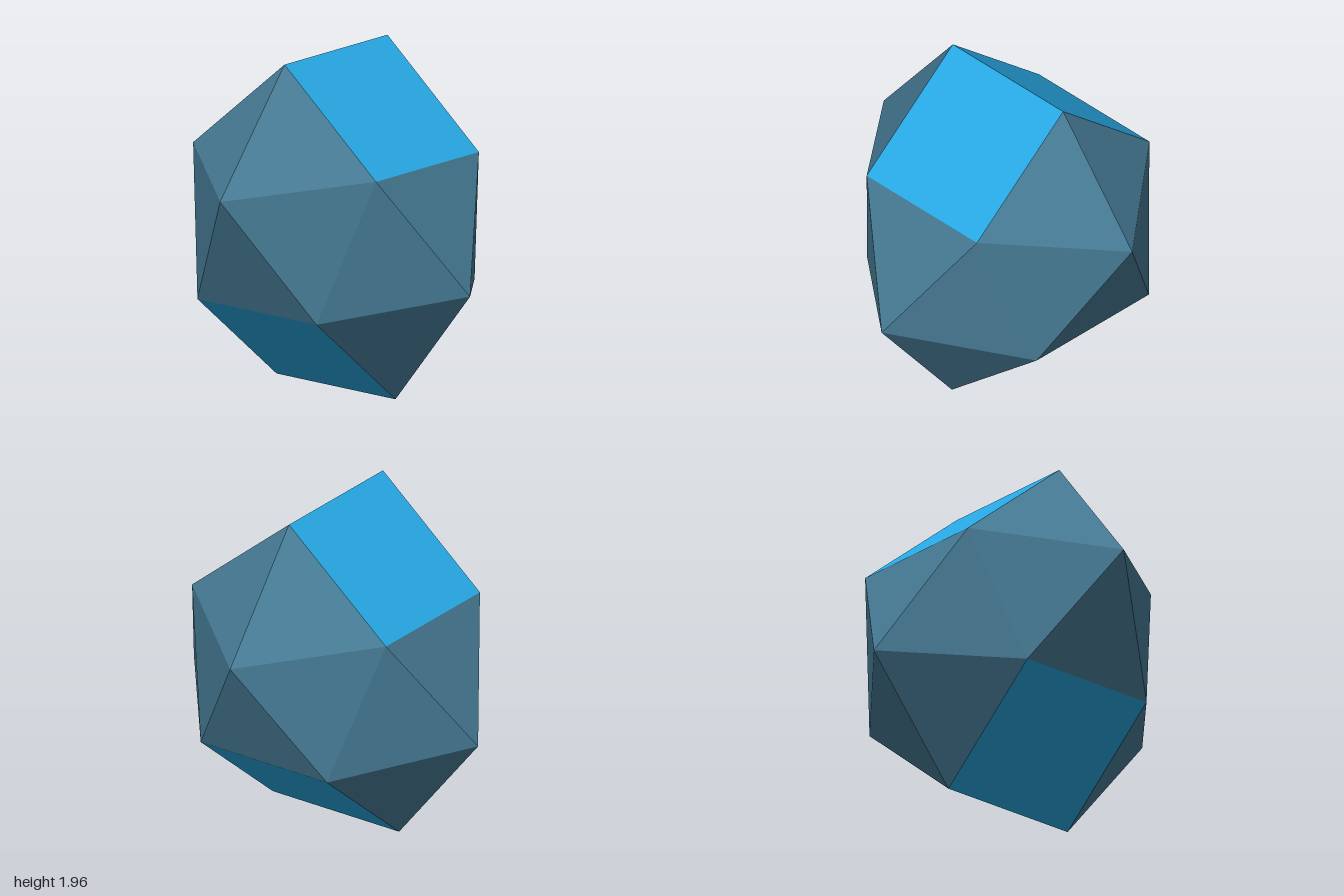
import * as THREE from 'three';

const H = 1.963; // overall height
// One representative of each kind of corner
const ridge = [0, H, 0.444];
const shoulder = [0.682, 1.395, 0.444];
const tip = [0, 1.271, 1];
const waist = [0.444, 0.568, 0.682];

const mirrorX = ([x, y, z]) => [-x, y, z];
const mirrorZ = ([x, y, z]) => [x, y, -z];
// Quarter turn about y combined with an upside-down flip
const turnFlip = ([x, y, z]) => [z, H - y, -x];

// Flat faces from convex polygons, each wound to face outward
function facesGeometry(polygons) {
  const centre = new THREE.Vector3(0, H / 2, 0);
  const positions = [];
  for (const polygon of polygons) {
    const p = polygon.map((c) => new THREE.Vector3(...c));
    const normal = p[1].clone().sub(p[0]).cross(p[2].clone().sub(p[0]));
    if (normal.dot(p[0].clone().sub(centre)) < 0) p.reverse();
    for (let i = 1; i < p.length - 1; i++) {
      for (const v of [p[0], p[i], p[i + 1]]) positions.push(v.x, v.y, v.z);
    }
  }
  const geometry = new THREE.BufferGeometry();
  geometry.setAttribute('position', new THREE.Float32BufferAttribute(positions, 3));
  geometry.computeVertexNormals();
  return geometry;
}

// Repeat seed faces through the four turn-and-flip positions
function repeatAround(seeds) {
  const result = [];
  let current = seeds;
  for (let i = 0; i < 4; i++) {
    result.push(...current);
    current = current.map((face) => face.map(turnFlip));
  }
  return result;
}

export function createModel() {
  const slate = new THREE.MeshStandardMaterial({ color: 0x467a94, flatShading: true });
  slate.name = 'slate blue';
  const blue = new THREE.MeshStandardMaterial({ color: 0x27a7e3, flatShading: true });
  blue.name = 'bright blue';

  // Four squares: two roof slopes on top, two below turned by 90 degrees
  const squares = repeatAround([[ridge, shoulder, mirrorZ(shoulder), mirrorZ(ridge)]]);

  // Twenty triangles: gable ends, belt and the single triangles under each tip
  const gable = [ridge, shoulder, tip];
  const belt = [shoulder, tip, waist];
  const triangles = repeatAround([
    gable, gable.map(mirrorX),
    belt, belt.map(mirrorX),
    [tip, waist, mirrorX(waist)],
  ]);
  // Each belt triangle is reached once from its seed or its mirror image

  const group = new THREE.Group();
  group.name = 'polyhedron';
  const squareMesh = new THREE.Mesh(facesGeometry(squares), blue);
  squareMesh.name = 'squareFaces';
  const triangleMesh = new THREE.Mesh(facesGeometry(triangles), slate);
  triangleMesh.name = 'triangleFaces';
  group.add(squareMesh, triangleMesh);
  return group;
}
